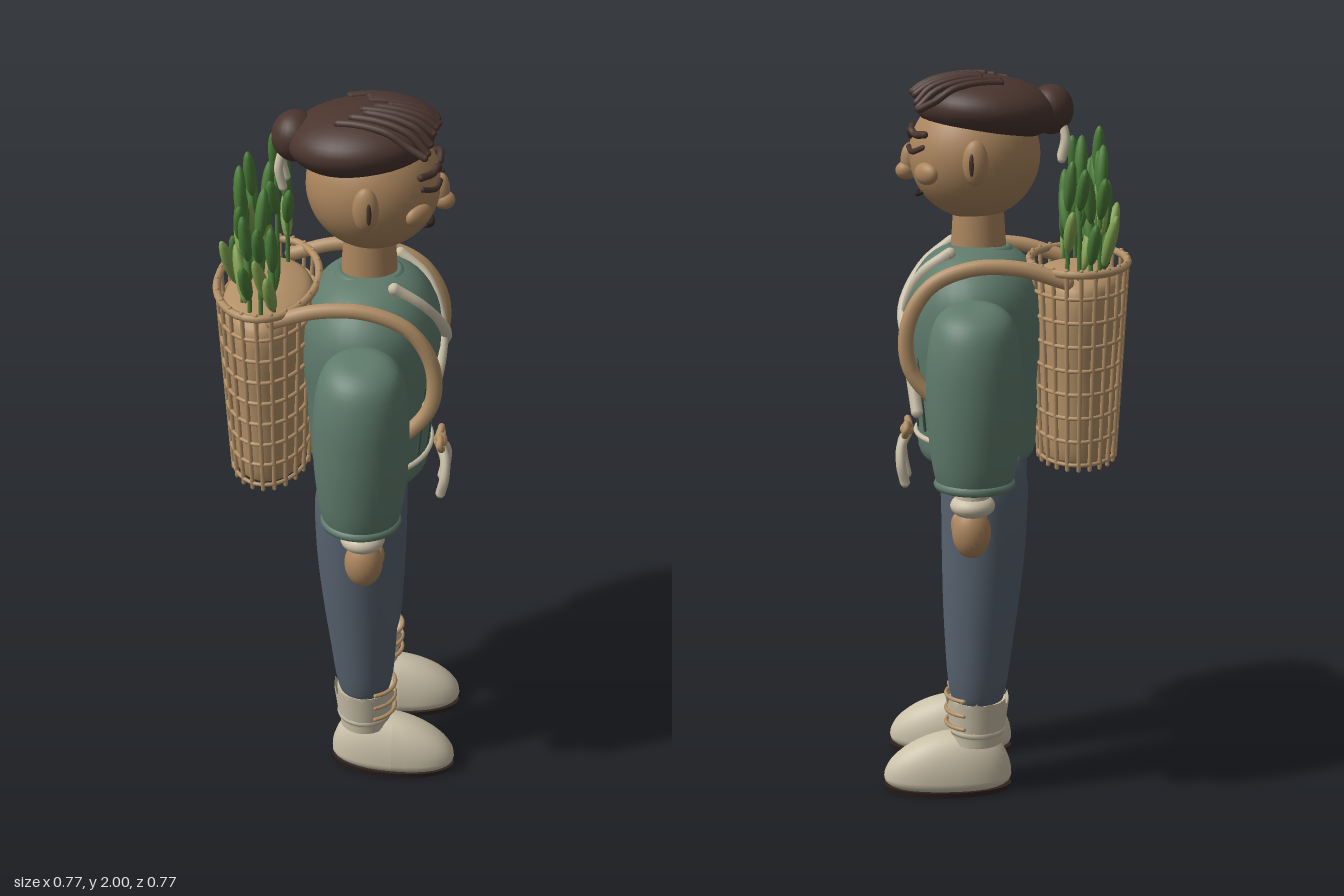
import * as THREE from 'three';

const mat = (name, color, side = THREE.FrontSide) => {
  const m = new THREE.MeshStandardMaterial({ color, side });
  m.name = name;
  return m;
};
const V = (x, y, z) => new THREE.Vector3(x, y, z);

export function createModel() {
  const skin = mat('skin', 0xab855d);
  const wicker = mat('wicker', 0xb39067);
  const hairM = mat('hair', 0x4a352e);
  const shirt = mat('shirt green', 0x5f7b6c);
  const denim = mat('trouser blue', 0x57626f);
  const cream = mat('cream cloth', 0xcac0a8, THREE.DoubleSide);
  const dark = mat('dark sole', 0x30231f);
  const seamM = mat('seam green', 0x3a5145);
  const leafM = mat('leaf green', 0x4b7c39);
  const sproutM = mat('sprout green', 0x82a252);

  const model = new THREE.Group();
  const body = new THREE.Group();
  body.name = 'figure';
  body.rotation.y = Math.PI * 0.75;
  model.add(body);

  const add = (name, geo, material) => {
    const m = new THREE.Mesh(geo, material);
    m.name = name;
    body.add(m);
    return m;
  };
  const ball = (name, material, x, y, z, rx, ry, rz, seg = 24) => {
    const m = add(name, new THREE.SphereGeometry(1, seg, Math.ceil(seg * 0.7)), material);
    m.scale.set(rx, ry, rz);
    m.position.set(x, y, z);
    return m;
  };
  // Tube through points, with rounded ends
  const tube = (name, material, pts, r, seg = 20) => {
    const v = pts.map(p => V(...p));
    add(name, new THREE.TubeGeometry(new THREE.CatmullRomCurve3(v), seg, r, 8), material);
    [v[0], v[v.length - 1]].forEach(p => ball(name + 'End', material, p.x, p.y, p.z, r, r, r, 8));
  };
  // Points of an elliptical arc at one height
  const arc = (x, y, z, rx, rz, a0, a1, n = 16) => Array.from({ length: n + 1 }, (_, i) => {
    const a = a0 + (a1 - a0) * i / n;
    return [x + rx * Math.cos(a), y, z + rz * Math.sin(a)];
  });
  const ring = (name, material, x, y, z, rx, rz, r) => {
    const v = arc(x, y, z, rx, rz, 0, Math.PI * 2, 24).slice(0, 24).map(p => V(...p));
    add(name, new THREE.TubeGeometry(new THREE.CatmullRomCurve3(v, true), 48, r, 8, true), material);
  };
  // Smooth turned body: [radius, y] from bottom to top, squashed front to back
  const turned = (pts, depth = 1) => {
    const curve = new THREE.CatmullRomCurve3(pts.map(p => V(p[0], p[1], 0)), false, 'centripetal');
    const prof = curve.getPoints(32).map(p => new THREE.Vector2(Math.max(0, p.x), p.y));
    return new THREE.LatheGeometry(prof, 36).scale(1, 1, depth);
  };

  // Torso
  add('torso', turned([[0, 0.935], [0.17, 0.935], [0.212, 0.96], [0.224, 1.05], [0.243, 1.2], [0.258, 1.32],
    [0.245, 1.42], [0.185, 1.495], [0.1, 1.532], [0, 1.54]], 0.75), shirt).position.z = 0.04;
  add('neck', new THREE.CylinderGeometry(0.068, 0.077, 0.14, 28), skin).position.set(0, 1.58, 0.035);
  ring('collar', shirt, 0, 1.518, 0.035, 0.085, 0.08, 0.016);
  tube('beltCord', cream, arc(0, 1.015, 0.04, 0.221, 0.169, 0, Math.PI), 0.008, 30);
  for (const x of [-0.13, -0.07, 0.07, 0.13]) {
    const f = Math.sqrt(1 - (x / 0.235) ** 2);
    tube('shirtSeam', seamM, [[x, 1.04, 0.04 + 0.168 * f], [x, 1.14, 0.04 + 0.178 * f], [x, 1.24, 0.04 + 0.187 * f]], 0.004, 8);
  }

  // Crossed chest cords and waist bow
  for (const s of [-1, 1]) {
    const low = s < 0 ? 1.1 : 1.19;
    tube('chestCord', cream, [[s * 0.115, 1.525, 0.11], [s * 0.09, 1.465, 0.185], [s * 0.015, 1.36, 0.236 - s * 0.006],
      [-s * 0.08, 1.27, 0.228], [-s * (s < 0 ? 0.165 : 0.125), low, 0.2]], 0.017);
    tube('bowLoop', wicker, [[0, 1.01, 0.225], [s * 0.03, 1.035, 0.235], [s * 0.055, 1.022, 0.235], [s * 0.03, 1.0, 0.24], [0, 1.01, 0.23]], 0.01);
    tube('bowTail', cream, [[0, 1.01, 0.23], [s * 0.035, 0.97, 0.25], [s * 0.055, 0.92, 0.25], [s * 0.05, 0.87, 0.24]], 0.014);
  }
  ball('bowKnot', wicker, 0, 1.012, 0.235, 0.03, 0.02, 0.02, 12);

  for (const s of [-1, 1]) {
    const hip = s * 0.148, arm = s * 0.325;

    // Puffed sleeve with a cap sloping outwards, cuff and hand
    const sleeve = turned([[0, 0.935], [0.09, 0.935], [0.104, 0.96], [0.12, 1.06], [0.127, 1.18],
      [0.121, 1.31], [0.1, 1.385], [0.06, 1.415], [0, 1.42]]);
    const sp = sleeve.attributes.position;
    for (let i = 0; i < sp.count; i++) {
      sp.setY(i, sp.getY(i) - s * sp.getX(i) * 0.18 * THREE.MathUtils.smoothstep(sp.getY(i), 1.2, 1.4));
    }
    sleeve.computeVertexNormals();
    add('sleeve', sleeve, shirt).position.set(arm, 0, 0.042);
    ring('sleeveHem', shirt, arm, 0.945, 0.042, 0.095, 0.095, 0.014);
    ball('wristBand', cream, s * 0.33, 0.885, 0.047, 0.06, 0.034, 0.06);
    add('wrist', new THREE.CylinderGeometry(0.045, 0.045, 0.08, 20), cream).position.set(s * 0.33, 0.915, 0.047);
    ball('hand', skin, s * 0.332, 0.81, 0.05, 0.048, 0.07, 0.052);
    ball('thumb', skin, s * 0.315, 0.825, 0.088, 0.018, 0.035, 0.018, 12);

    // Trouser leg drifting forward towards the ankle
    const leg = turned([[0, 0.265], [0.07, 0.265], [0.084, 0.295], [0.104, 0.45], [0.12, 0.63], [0.128, 0.8], [0.126, 0.92], [0.1, 0.975], [0, 0.99]], 0.92);
    const p = leg.attributes.position;
    for (let i = 0; i < p.count; i++) p.setZ(i, p.getZ(i) + 0.038 - 0.02 * THREE.MathUtils.smoothstep(p.getY(i), 0.25, 0.85));
    leg.computeVertexNormals();
    add('trouserLeg', leg, denim).position.x = hip;

    // Ankle wrap with ragged top, cords across the front
    const wrap = new THREE.CylinderGeometry(0.089, 0.075, 0.11, 36, 1, true);
    const w = wrap.attributes.position;
    for (let i = 0; i < w.count; i++) if (w.getY(i) > 0) w.setY(i, 0.05 + 0.012 * Math.sin(i * 2.3));
    add('ankleWrap', wrap, cream).position.set(hip, 0.225, 0.038);
    add('ankle', new THREE.CylinderGeometry(0.08, 0.07, 0.13, 28), cream).position.set(hip, 0.21, 0.038);
    for (const y of [0.205, 0.245, 0.288]) tube('wrapCord', wicker, arc(hip, y, 0.042, 0.083, 0.084, 0.4, 2.74), 0.006);
    ring('wrapFold', cream, hip, 0.185, 0.038, 0.066, 0.066, 0.014);

    // Shoe: flat-bottomed, high at the heel, low at the toe, toes slightly out
    const shoe = new THREE.SphereGeometry(1, 32, 24);
    const q = shoe.attributes.position;
    for (let i = 0; i < q.count; i++) {
      const y = q.getY(i);
      const k = y < 0 ? Math.max(Math.hypot(q.getX(i), q.getZ(i)), 1e-6) ** -0.65 : 1;
      const x = q.getX(i) * k, z = q.getZ(i) * k;
      const h = y > 0 ? 0.128 - 0.035 * z : 0.034;
      q.setXYZ(i, Math.sign(x) * Math.abs(x) ** 0.85 * 0.081 + s * 0.01 * z, 0.042 + y * h, 0.122 + Math.sign(z) * Math.abs(z) ** 0.9 * 0.18);
    }
    shoe.computeVertexNormals();
    add('shoe', shoe, cream).position.x = hip;
    const sole = add('sole', new THREE.CylinderGeometry(1.02, 0.98, 1, 32), dark);
    sole.scale.set(0.079, 0.016, 0.177);
    sole.rotation.y = s * 0.055;
    sole.position.set(hip, 0.008, 0.122);

    // Basket shoulder strap, tucked in behind the waist
    tube('shoulderStrap', wicker, [[s * 0.215, 1.465, -0.2], [s * 0.215, 1.5, -0.08], [s * 0.215, 1.5, 0.05], [s * 0.215, 1.452, 0.16],
      [s * 0.215, 1.35, 0.22], [s * 0.215, 1.23, 0.215], [s * 0.215, 1.13, 0.13], [s * 0.2, 1.07, 0.03], [s * 0.18, 1.045, -0.05]], 0.021, 48);

    // Ear, cheek, brow and closed eye
    ball('ear', skin, s * 0.182, 1.775, 0.04, 0.024, 0.06, 0.034);
    ball('earHollow', hairM, s * 0.203, 1.772, 0.05, 0.005, 0.03, 0.007, 14);
    ball('cheek', skin, s * 0.12, 1.74, 0.172, 0.043, 0.03, 0.022).rotation.y = s * 0.7;
    tube('brow', hairM, [[s * 0.028, 1.833, 0.216], [s * 0.055, 1.85, 0.215], [s * 0.08, 1.84, 0.203], [s * 0.12, 1.843, 0.176]], 0.01);
    tube('closedEye', hairM, [[s * 0.035, 1.803, 0.221], [s * 0.06, 1.793, 0.214], [s * 0.085, 1.797, 0.2], [s * 0.112, 1.808, 0.18]], 0.008);
    tube('bunRibbon', cream, [[s * 0.02, 1.87, -0.19], [s * 0.035, 1.82, -0.2], [s * 0.035, 1.77, -0.19]], 0.012);
  }

  // Head
  ball('head', skin, 0, 1.78, 0.045, 0.18, 0.175, 0.178, 36);
  ball('nose', skin, 0, 1.76, 0.222, 0.022, 0.05, 0.024, 16);
  ball('noseTip', skin, 0, 1.735, 0.232, 0.026, 0.025, 0.028, 16);
  tube('mouth', dark, [[-0.045, 1.678, 0.188], [-0.015, 1.672, 0.2], [0.015, 1.672, 0.2], [0.045, 1.68, 0.188]], 0.006);

  // Hair cap, bun and combed strands that hang over the brow
  ball('hairCap', hairM, 0, 1.903, 0.012, 0.19, 0.09, 0.193, 36).rotation.x = -0.08;
  ball('hairBun', hairM, 0, 1.9, -0.16, 0.07, 0.067, 0.062);
  for (let i = 0; i < 11; i++) {
    const t = i / 5 - 1, pts = [];
    const back = 0.06 - 0.1 * Math.abs(t) + (i % 3) * 0.015;
    for (let k = 0; k <= 5; k++) {
      const x = t * (0.1 + 0.012 * k), z = back + (0.212 - 0.025 * Math.abs(t) - back) * (k / 5);
      const d = Math.max(0, 1 - (x / 0.2) ** 2 - ((z - 0.012) / 0.213) ** 2);
      pts.push([x, 1.903 + 0.09 * Math.sqrt(d) + 0.06 * (z - 0.012), z]);
    }
    tube('hairStrand', hairM, pts, 0.01, 14);
  }

  // Basket: domed filling, hoops, rim and stakes
  const BZ = -0.238, Y0 = 0.96, Y1 = 1.49;
  const rx = y => 0.2 + 0.055 * (y - Y0) / (Y1 - Y0);
  const rz = y => 0.108 + 0.027 * (y - Y0) / (Y1 - Y0);
  add('basketFilling', turned([[0, 0.955], [0.17, 0.955], [0.19, 0.97], [0.215, 1.2], [0.234, 1.4], [0.215, 1.45], [0.12, 1.475], [0, 1.48]], 0.54), wicker).position.z = BZ;
  for (let i = 0; i < 8; i++) {
    const y = Y0 + (Y1 - Y0) * i / 8;
    ring('basketHoop', wicker, 0, y, BZ, rx(y), rz(y), 0.0055);
  }
  ring('basketRim', wicker, 0, Y1, BZ, rx(Y1), rz(Y1), 0.011);
  for (let i = 0; i < 22; i++) {
    const a = (i / 22) * Math.PI * 2;
    const at = y => [rx(y) * Math.cos(a), y, BZ + rz(y) * Math.sin(a)];
    tube('basketStake', wicker, [at(0.945), at(1.22), at(1.5)], 0.006, 4);
  }

  // Leafy shoots around the sides and back of the basket
  const leaf = (name, material, base, dir, len) => {
    const m = ball(name, material, 0, 0, 0, 0.022, len / 2, 0.017, 12);
    dir.normalize();
    m.quaternion.setFromUnitVectors(V(0, 1, 0), dir);
    m.position.copy(base).addScaledVector(dir, len / 2);
  };
  for (let i = 0; i < 10; i++) {
    const a = Math.PI * (0.84 + 1.32 * i / 9);
    const x = 0.18 * Math.cos(a), z = BZ + 0.07 * Math.sin(a);
    const top = 1.6 + 0.13 * ((i * 3) % 5) / 4;
    const side = i % 2 ? 1 : -1;
    tube('shootStem', leafM, [[x, 1.44, z], [x, (1.44 + top) / 2, z], [x, top, z]], 0.006, 8);
    leaf('topLeaf', leafM, V(x, top - 0.02, z), V(side * 0.2, 1, 0.1 * Math.sin(i * 2)), 0.14);
    leaf('sideLeaf', leafM, V(x, top - 0.08, z), V(-side * 0.5, 1, 0.12 * Math.sin(i * 3)), 0.13);
    leaf('lowLeaf', i % 3 ? leafM : sproutM, V(x, top - 0.13, z), V(side * 0.5, 1, -0.1), 0.13);
    if (i % 2 === 0) leaf('youngLeaf', sproutM, V(x, 1.49, z - 0.01), V(i % 4 ? 0.4 : -0.4, 1, -0.22), 0.16);
  }
  return model;
}
